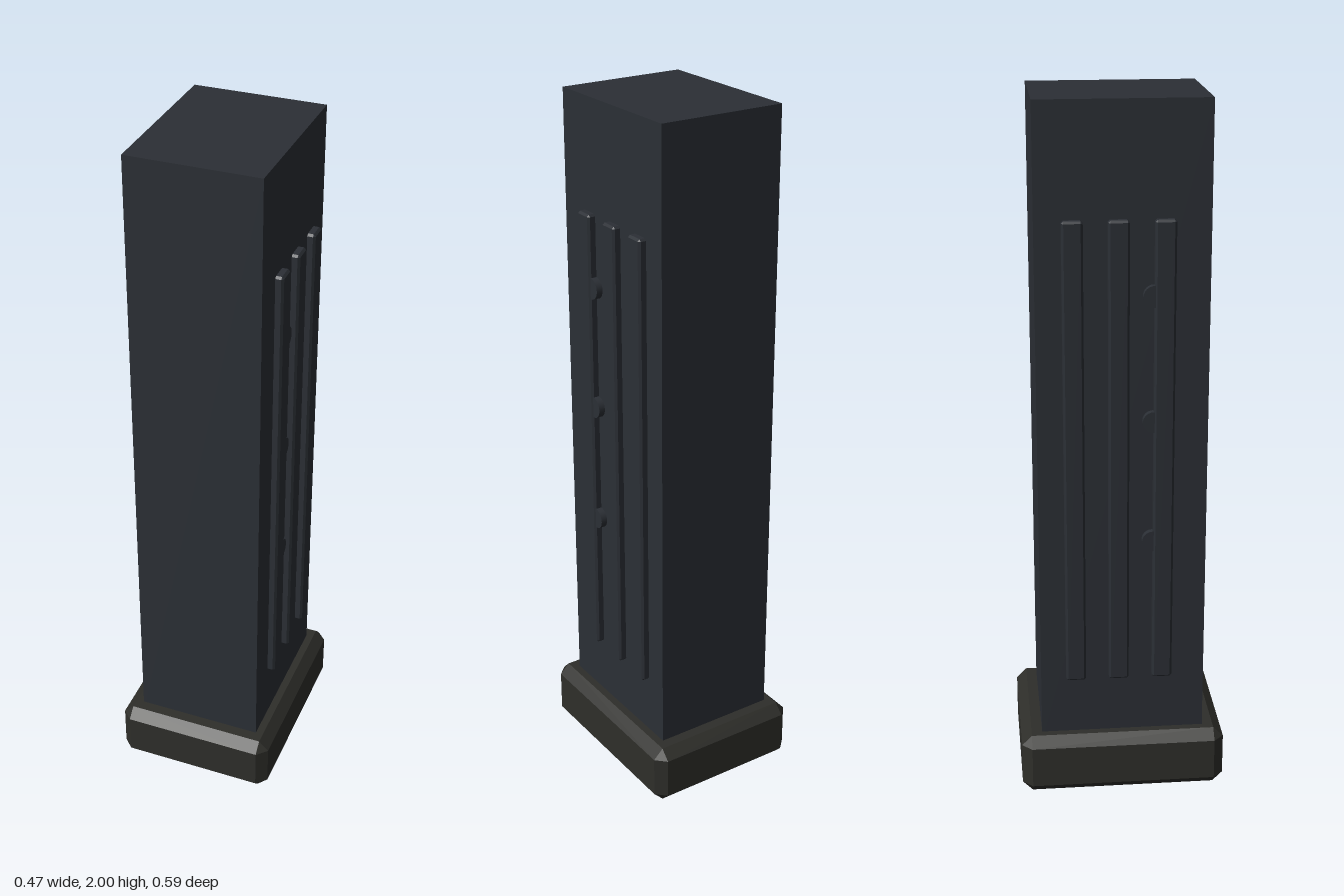
import * as THREE from 'three';
import { ConvexGeometry } from 'three/addons/geometries/ConvexGeometry.js';

// Box with every edge cut by a single flat bevel
function bevelledBox(w, h, d, b) {
  const points = [];
  for (const sx of [-1, 1]) for (const sy of [-1, 1]) for (const sz of [-1, 1]) {
    for (let axis = 0; axis < 3; axis++) {
      const inset = [b, b, b];
      inset[axis] = 0;
      points.push(new THREE.Vector3(
        sx * (w / 2 - inset[0]), sy * (h / 2 - inset[1]), sz * (d / 2 - inset[2])));
    }
  }
  return new ConvexGeometry(points);
}

export function createModel() {
  const model = new THREE.Group();
  model.name = 'magazine';
  const steel = new THREE.MeshStandardMaterial({ color: 0x2b2f35, flatShading: true });
  const steelSmooth = new THREE.MeshStandardMaterial({ color: 0x2b2f35 });
  const polymer = new THREE.MeshStandardMaterial({ color: 0x2e2e2a, flatShading: true });

  function add(name, geometry, material, x, y, z) {
    const mesh = new THREE.Mesh(geometry, material);
    mesh.name = name;
    mesh.position.set(x, y, z);
    model.add(mesh);
    return mesh;
  }

  // Tall body and bevelled base plate
  add('body', new THREE.BoxGeometry(0.368, 1.85, 0.47), steel, 0, 1.075, 0);
  add('basePlate', bevelledBox(0.47, 0.18, 0.59, 0.029), polymer, 0, 0.09, 0);

  // Raised ribs and small round studs on both sides
  const ribGeometry = bevelledBox(0.044, 1.336, 0.057, 0.006);
  const studGeometry = new THREE.CylinderGeometry(0.03, 0.03, 0.022, 24).rotateZ(Math.PI / 2);
  for (const [side, s] of [['left', 1], ['right', -1]]) {
    for (const z of [0.112, -0.012, -0.135]) {
      add(side + 'Rib', ribGeometry, steel, s * 0.184, 1.022, z);
    }
    for (const y of [0.78, 1.132, 1.484]) {
      add(side + 'Stud', studGeometry, steelSmooth, s * 0.191, y, 0.083);
    }
  }
  return model;
}
